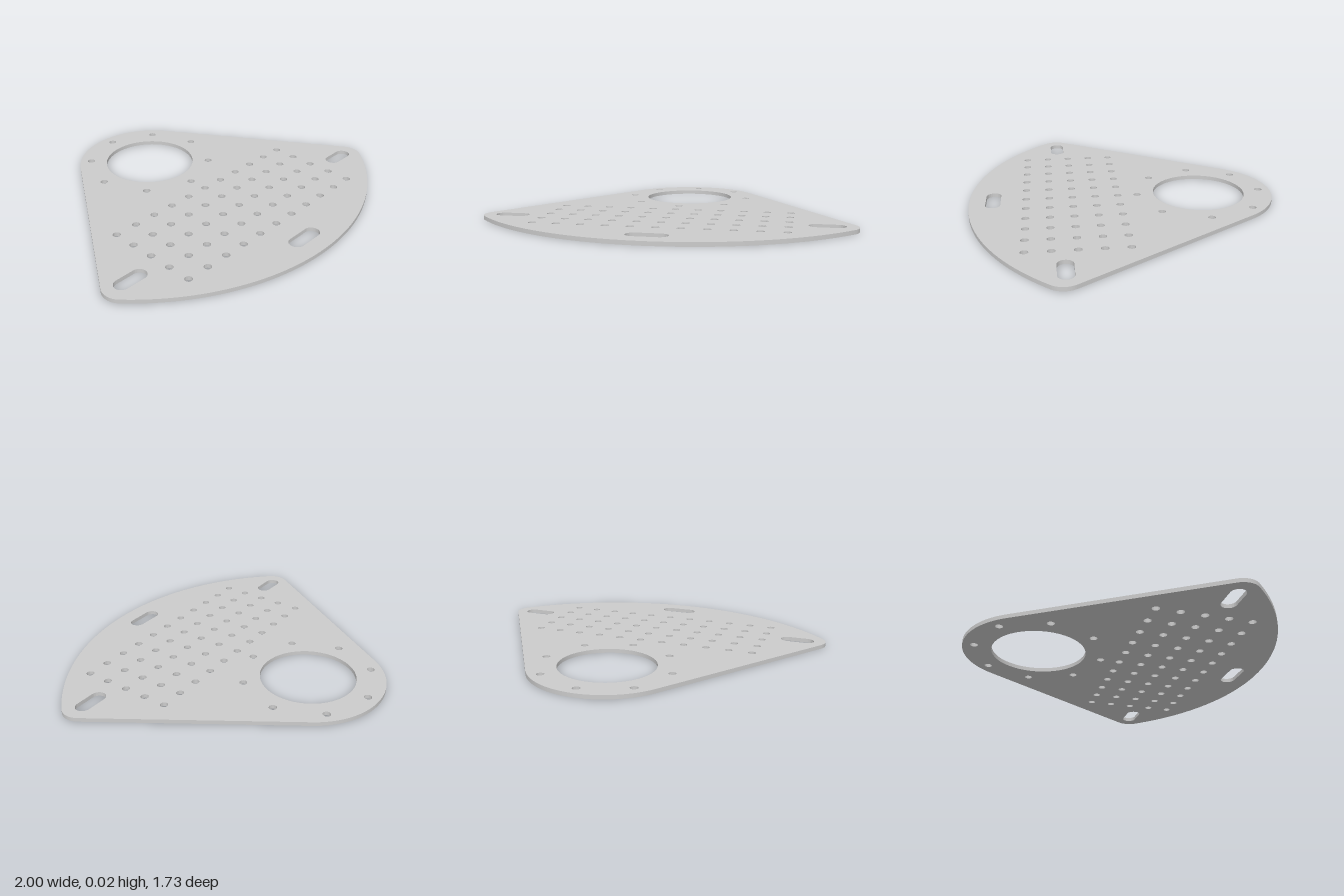
import * as THREE from 'three';
import { toCreasedNormals } from 'three/addons/utils/BufferGeometryUtils.js';

const THICKNESS = 0.022;
const BORE = { z: -0.443, r: 0.262, rim: 0.42, boltCircle: 0.357 };
const CORNER = { x: 0.9, z: 0.36, r: 0.1 };
const HOLE_R = 0.021;
const PITCH = 0.1304;

// Rounded triangle: small back arc, straight tangent sides, two corners, wide front arc
function outline() {
  const dz = CORNER.z - BORE.z;
  const dist = Math.hypot(CORNER.x, dz);
  const b = Math.atan2(dz, CORNER.x);
  const a = b - Math.acos((BORE.rim - CORNER.r) / dist);
  const s = new THREE.Shape();
  s.absarc(CORNER.x, CORNER.z, CORNER.r, a, b, false);
  s.absarc(0, BORE.z, dist + CORNER.r, b, Math.PI - b, false);
  s.absarc(-CORNER.x, CORNER.z, CORNER.r, Math.PI - b, Math.PI - a, false);
  s.absarc(0, BORE.z, BORE.rim, Math.PI - a, 2 * Math.PI + a, false);
  return s;
}

function roundHole(x, z, r) {
  return new THREE.Path().absarc(x, z, r, 0, Math.PI * 2, true);
}

function slot(x, z, halfLength, r) {
  const d = halfLength - r;
  const p = new THREE.Path();
  p.absarc(x + d, z, r, -Math.PI / 2, Math.PI / 2, false);
  p.absarc(x - d, z, r, Math.PI / 2, Math.PI * 1.5, false);
  p.closePath();
  return p;
}

export function createModel() {
  const group = new THREE.Group();
  group.name = 'mountingPlate';
  const shape = outline();

  // Large bore with a ring of eight bolt holes
  shape.holes.push(roundHole(0, BORE.z, BORE.r));
  for (let i = 0; i < 8; i++) {
    const t = (i * Math.PI) / 4;
    shape.holes.push(roundHole(
      BORE.boltCircle * Math.cos(t), BORE.z + BORE.boltCircle * Math.sin(t), HOLE_R));
  }

  // Grid of small holes
  for (let row = 0; row < 5; row++) {
    for (let col = -5; col <= 5; col++) {
      shape.holes.push(roundHole(col * PITCH, 0.025 + row * PITCH, HOLE_R));
    }
  }

  // Mounting slots: one in each corner and one at the front
  for (const side of [-1, 1]) shape.holes.push(slot(side * 0.843, 0.353, 0.094, 0.0415));
  shape.holes.push(slot(0, 0.73, 0.106, 0.0415));

  // Extrude, then lay the plate flat on y = 0
  const geometry = new THREE.ExtrudeGeometry(shape, {
    depth: THICKNESS, bevelEnabled: false, curveSegments: 24,
  });
  geometry.rotateX(Math.PI / 2);
  geometry.translate(0, THICKNESS, 0);

  const plate = new THREE.Mesh(
    toCreasedNormals(geometry, Math.PI / 6),
    new THREE.MeshStandardMaterial({ color: 0xcccccc }));
  plate.name = 'plate';
  group.add(plate);
  return group;
}
